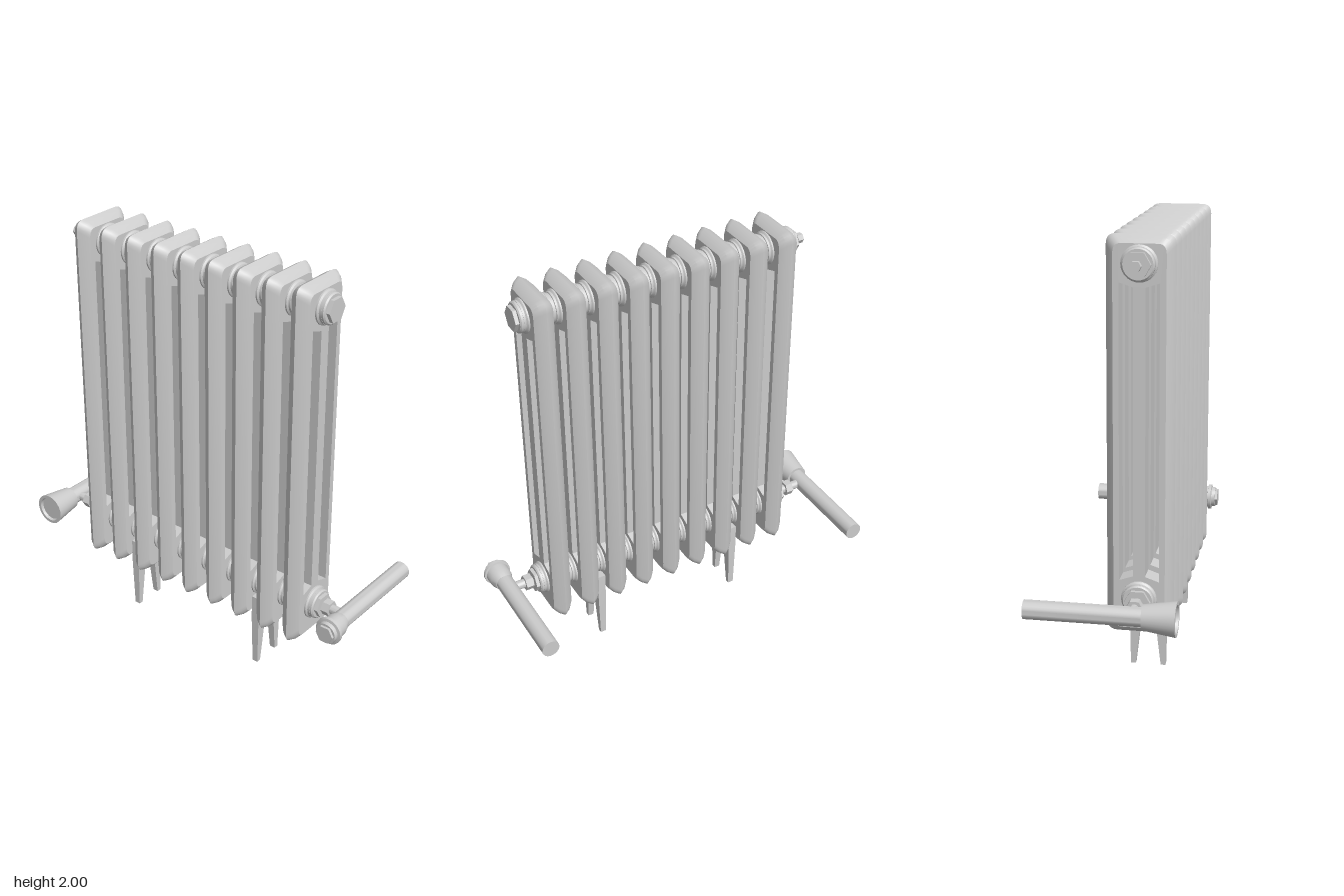
import * as THREE from 'three';
import { toCreasedNormals } from 'three/addons/utils/BufferGeometryUtils.js';

const material = new THREE.MeshStandardMaterial({ color: 0xcccccc });
const COUNT = 9, PITCH = 0.1497, CX = 0.0135;   // column sections along x
const CZ = 0.1325, CY = 1.1265;                 // section centre
const HZ = 0.1475, HY = 0.8735;                 // section half sizes
const HUB_TOP = 1.884, HUB_LOW = 0.427;

function part(name, geometry, x = 0, y = 0, z = 0) {
  const mesh = new THREE.Mesh(geometry, material);
  mesh.name = name;
  mesh.position.set(x, y, z);
  return mesh;
}

// Turned solid from [position along axis, radius] pairs; side = -1 mirrors it
function turned(profile, axis, segments = 28, side = 1) {
  let pts = profile.map(([p, r]) => new THREE.Vector2(r, p * side));
  if (side < 0) pts = pts.reverse();
  const g = new THREE.LatheGeometry(pts, segments);
  if (axis === 'x') g.rotateZ(-Math.PI / 2);
  else {
    if (segments === 6) g.rotateY(Math.PI / 6);
    g.rotateX(Math.PI / 2);
  }
  return toCreasedNormals(g, 0.6);
}

const rod = (a, b, r, axis, segments, side) =>
  turned([[a, 0], [a, r], [b, r], [b, 0]], axis, segments, side);

// Three-column section: slotted plate whose outer rim rises to a ridge
function sectionGeometry() {
  const r = 0.045, s = new THREE.Shape();
  s.moveTo(-HZ + r, -HY);
  s.lineTo(HZ - r, -HY);
  s.quadraticCurveTo(HZ, -HY, HZ, -HY + r);
  s.lineTo(HZ, HY - r);
  s.quadraticCurveTo(HZ, HY, HZ - r, HY);
  s.lineTo(-HZ + r, HY);
  s.quadraticCurveTo(-HZ, HY, -HZ, HY - r);
  s.lineTo(-HZ, -HY + r);
  s.quadraticCurveTo(-HZ, -HY, -HZ + r, -HY);
  for (const m of [-1, 1]) {
    const slot = [[0.026, -0.6], [0.087, -0.621], [0.087, 0.678], [0.026, 0.658]];
    s.holes.push(new THREE.Path(slot.map(([a, b]) => new THREE.Vector2(a * m, b))));
  }
  const g = new THREE.ExtrudeGeometry(s, { depth: 4, steps: 4, bevelEnabled: false, curveSegments: 5 });
  const layerX = [-0.046, -0.026, 0, 0.026, 0.046];
  const inset = [0.035, 0.014, 0, 0.014, 0.035];
  const p = g.attributes.position;
  for (let i = 0; i < p.count; i++) {
    const k = Math.round(p.getZ(i));
    const a = p.getX(i), b = p.getY(i);
    if (Math.abs(a) > 0.095 || Math.abs(b) > 0.75) {
      p.setX(i, a * (1 - inset[k] / HZ));
      p.setY(i, b * (1 - inset[k] / HY));
    }
    p.setZ(i, layerX[k]);
  }
  g.rotateY(Math.PI / 2);
  return toCreasedNormals(g, 0.45);
}

// Forked foot that cradles the lower hub
function footGeometry() {
  const s = new THREE.Shape();
  s.moveTo(-0.08, 0);
  s.lineTo(-0.058, 0);
  s.lineTo(-0.04, 0.16);
  s.bezierCurveTo(-0.036, 0.255, 0.036, 0.255, 0.04, 0.16);
  s.lineTo(0.058, 0);
  s.lineTo(0.08, 0);
  s.lineTo(0.084, 0.25);
  s.lineTo(0.08, 0.365);
  s.lineTo(-0.08, 0.365);
  s.lineTo(-0.084, 0.25);
  s.closePath();
  const g = new THREE.ExtrudeGeometry(s, { depth: 2, bevelEnabled: false, curveSegments: 10 });
  const p = g.attributes.position;
  for (let i = 0; i < p.count; i++) {
    // thicker towards the top
    p.setZ(i, (p.getZ(i) - 1) * (0.014 + 0.009 * p.getY(i) / 0.365));
  }
  g.rotateY(Math.PI / 2);
  return toCreasedNormals(g, 0.6);
}

export function createModel() {
  const model = new THREE.Group();
  model.name = 'columnRadiator';

  // Sections with their connecting hubs
  const section = sectionGeometry();
  const half = [[0, 0.078], [0.053, 0.078], [0.059, 0.071], [0.069, 0.071], [0.07, 0.066], [0.075, 0.066]];
  const hub = turned([...half.slice(1).map(([p, r]) => [-p, r]).reverse(), ...half], 'x');
  for (let i = 0; i < COUNT; i++) {
    const x = CX + (i - (COUNT - 1) / 2) * PITCH;
    model.add(part('section', section, x, CY, CZ));
    for (const y of [HUB_TOP, HUB_LOW]) model.add(part('hub', hub, x, y, CZ));
  }

  // End collars and hexagonal plugs
  for (const side of [-1, 1]) {
    for (const y of [HUB_TOP, HUB_LOW]) {
      model.add(part('endCollar', turned(
        [[0.65, 0], [0.65, 0.07], [0.678, 0.07], [0.684, 0.064], [0.684, 0]], 'x', 28, side), CX, y, CZ));
      model.add(part('endPlug', rod(0.68, 0.701, 0.057, 'x', 6, side), CX, y, CZ));
    }
  }

  // Bleed valve at the upper right end
  const bleed = new THREE.Group();
  bleed.name = 'bleedValve';
  bleed.position.set(CX, HUB_TOP, CZ);
  bleed.add(part('bleedStem', rod(0.69, 0.73, 0.014, 'x', 16, -1)));
  bleed.add(part('bleedKnob', rod(0.72, 0.748, 0.024, 'x', 6, -1)));
  model.add(bleed);

  // Feet between sections
  const foot = footGeometry();
  for (const x of [-0.36, 0.388]) model.add(part('foot', foot, x, 0, CZ));

  // Supply pipes, with unions joining them to the lower hubs
  for (const side of [-1, 1]) {
    const union = new THREE.Group();
    union.name = 'pipeUnion';
    union.position.set(0, HUB_LOW, CZ);
    union.add(part('unionNeck', rod(0.68, 0.81, 0.022, 'x', 20, side)));
    union.add(part('unionNut', rod(0.72, 0.757, 0.038, 'x', 6, side)));
    model.add(union);
    model.add(part('pipe', rod(-0.33, 0.2, 0.042, 'z'), side * 0.835, HUB_LOW, 0));
  }

  // Flared valve handle on the right pipe, with a shallow dished face
  model.add(part('valveHandle', turned(
    [[0.182, 0], [0.182, 0.055], [0.328, 0.077], [0.328, 0.062], [0.314, 0.059], [0.314, 0]], 'z', 32),
    -0.835, HUB_LOW, 0));

  // Lockshield cap on the left pipe
  const cap = new THREE.Group();
  cap.name = 'lockshield';
  cap.position.set(0.838, HUB_LOW, 0);
  cap.add(part('lockshieldBody', turned(
    [[0.18, 0], [0.18, 0.042], [0.215, 0.054], [0.262, 0.056], [0.264, 0.065], [0.279, 0.065],
      [0.282, 0.052], [0.3, 0.05], [0.3, 0]], 'z', 28)));
  cap.add(part('lockshieldNut', rod(0.29, 0.312, 0.044, 'z', 6)));
  model.add(cap);

  return model;
}
